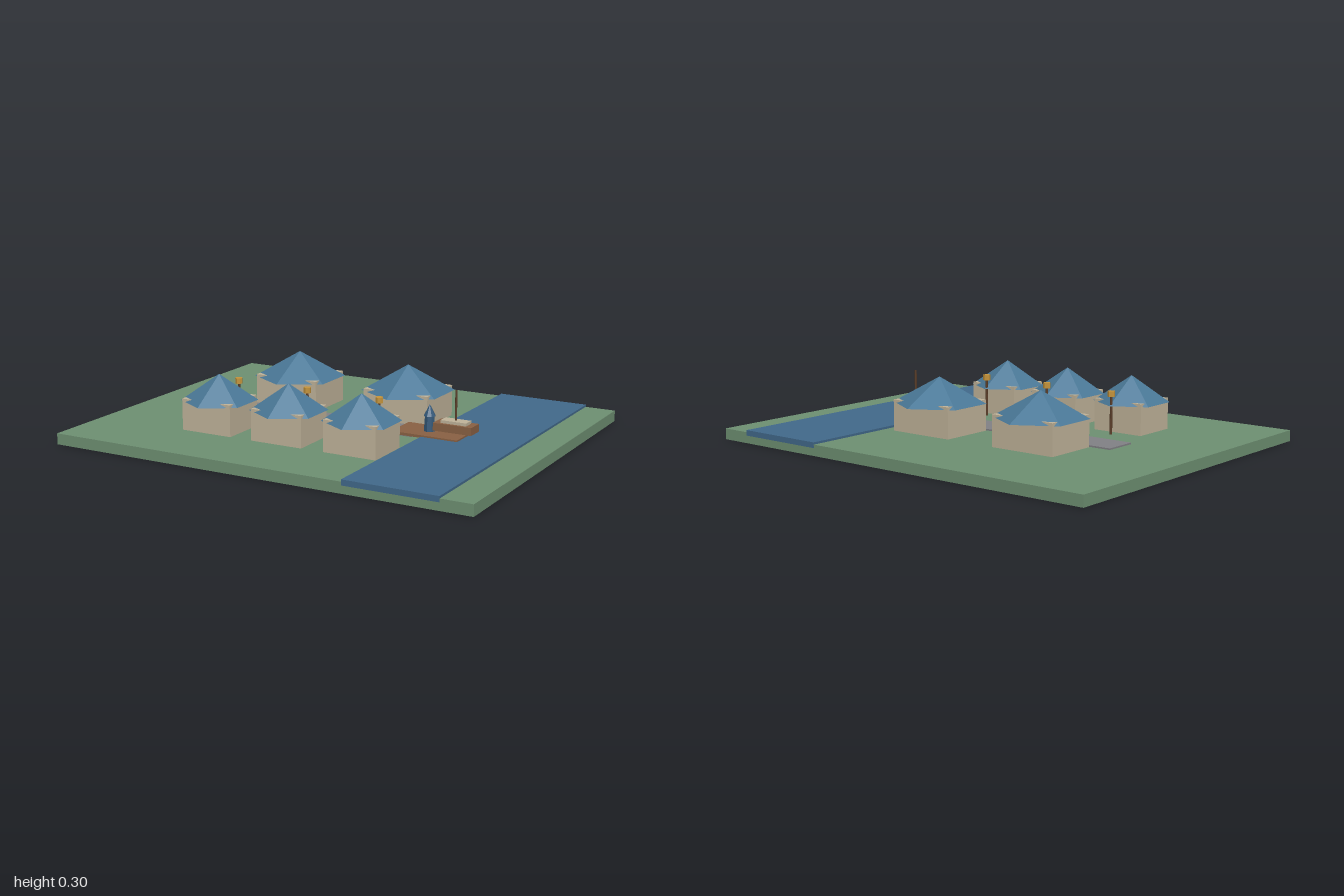
import * as THREE from 'three';

const mat = (name, color) => {
  const m = new THREE.MeshStandardMaterial({ color, flatShading: true });
  m.name = name;
  return m;
};

export function createModel() {
  const grass = mat('grass green', 0x6f9173);
  const river = mat('river blue', 0x426a8c);
  const stone = mat('path grey', 0x828286);
  const wood = mat('plank brown', 0x8b6244);
  const plaster = mat('plaster tan', 0xc2b59b);
  const tile = mat('roof blue', 0x4a7897);
  const darkWood = mat('dark wood', 0x5a3d28);
  const gold = mat('lantern gold', 0xc8963c);
  const navy = mat('navy cloth', 0x34597a);

  const model = new THREE.Group();
  model.name = 'riverVillage';

  const add = (parent, name, geometry, material, x, y, z) => {
    const mesh = new THREE.Mesh(geometry, material);
    mesh.name = name;
    mesh.position.set(x, y, z);
    parent.add(mesh);
    return mesh;
  };
  // Box given by its centre in x and z and its bottom and top heights
  const box = (parent, name, material, x, z, w, d, y0, y1) =>
    add(parent, name, new THREE.BoxGeometry(w, y1 - y0, d), material, x, (y0 + y1) / 2, z);
  // Upright cylinder or cone between two heights
  const column = (parent, name, material, x, z, rTop, rBottom, y0, y1, sides) =>
    add(parent, name, new THREE.CylinderGeometry(rTop, rBottom, y1 - y0, sides), material, x, (y0 + y1) / 2, z);
  const group = (name) => {
    const g = new THREE.Group();
    g.name = name;
    model.add(g);
    return g;
  };

  // Land, water, path and dock
  box(model, 'ground', grass, 0, 0, 2, 1.57, 0, 0.05);
  box(model, 'river', river, 0.643, 0, 0.429, 1.573, 0.035, 0.06);
  box(model, 'path', stone, -0.12, 0, 1, 0.157, 0.05, 0.057);
  box(model, 'dock', wood, 0.443, 0, 0.316, 0.171, 0.055, 0.067);

  // Houses: plaster walls under a six-sided roof
  const house = (name, x, z, w, d, roofRadius) => {
    const g = group(name);
    box(g, 'walls', plaster, x, z, w, d, 0.05, 0.192);
    column(g, 'roof', tile, x, z, 0, roofRadius, 0.178, 0.296, 6);
  };
  for (const x of [-0.357, 0.214]) house('largeHouse', x, -0.214, 0.321, 0.257, 0.212);

  // Small houses, each with a lamp post at its street side
  for (const x of [-0.429, -0.071, 0.286]) {
    house('smallHouse', x, 0.357, 0.25, 0.216, 0.171);
    const lamp = group('streetLamp');
    column(lamp, 'post', darkWood, x, 0.2, 0.006, 0.006, 0.05, 0.222, 8);
    column(lamp, 'lantern', gold, x, 0.2, 0.017, 0.017, 0.22, 0.245, 8);
  }

  // Cloaked figure on the dock
  const figure = group('dockFigure');
  column(figure, 'cloak', navy, 0.429, 0, 0.021, 0.026, 0.067, 0.145, 8);
  column(figure, 'hood', navy, 0.429, 0, 0, 0.027, 0.135, 0.187, 8);

  // Moored boat
  const boat = group('boat');
  box(boat, 'hull', wood, 0.555, 0, 0.182, 0.08, 0.082, 0.117);
  box(boat, 'deck', plaster, 0.555, 0, 0.121, 0.054, 0.117, 0.13);
  column(boat, 'mast', darkWood, 0.555, 0, 0.005, 0.005, 0.117, 0.265, 8);

  return model;
}
